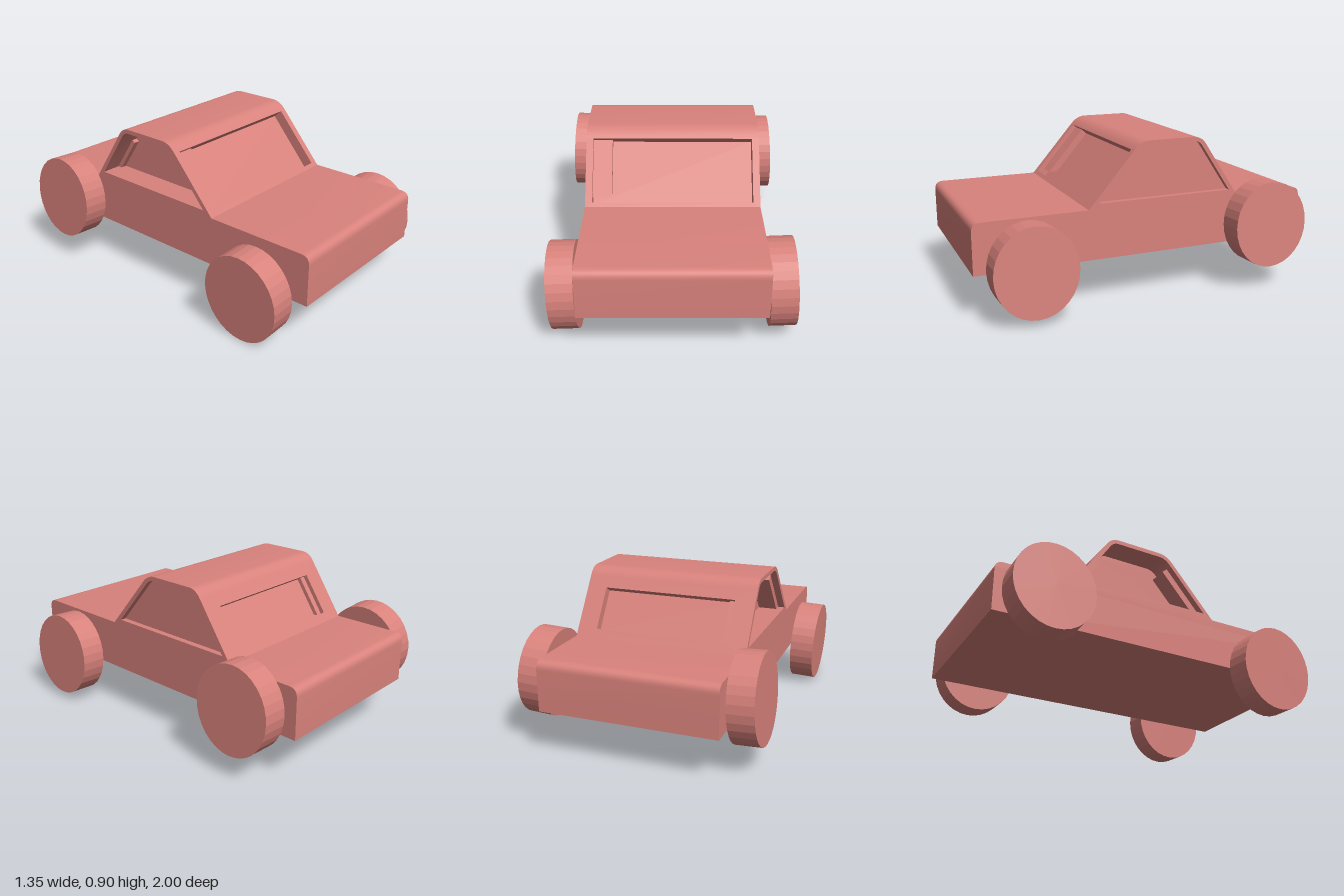
import * as THREE from 'three';
import { toCreasedNormals } from 'three/addons/utils/BufferGeometryUtils.js';

const paint = new THREE.MeshStandardMaterial({ color: 0xd9827c, side: THREE.DoubleSide });
const tyre = new THREE.MeshStandardMaterial({ color: 0xd9827c, flatShading: true });
const HALF = 0.5; // half the body width

const V = (x, y) => new THREE.Vector2(x, y);

// Profile points are (z, y)
function bodyPoints() {
  return new THREE.Path().moveTo(-0.56, 0.55).lineTo(-0.95, 0.55)
    .quadraticCurveTo(-1, 0.55, -1, 0.5).lineTo(-1, 0.265).lineTo(1, 0.265).lineTo(1, 0.5)
    .quadraticCurveTo(1, 0.55, 0.95, 0.55).lineTo(0.36, 0.55).getPoints(8);
}
function roofPoints() {
  return new THREE.Path().moveTo(0.09, 0.86).quadraticCurveTo(0.05, 0.905, 0, 0.905)
    .lineTo(-0.27, 0.905).quadraticCurveTo(-0.32, 0.905, -0.35, 0.86).getPoints(8);
}
function sideWindowPoints() {
  return new THREE.Path().moveTo(0.3, 0.58).lineTo(0.07, 0.845).quadraticCurveTo(0.04, 0.88, 0, 0.88)
    .lineTo(-0.275, 0.88).quadraticCurveTo(-0.307, 0.88, -0.327, 0.85).lineTo(-0.51, 0.58).getPoints(8);
}

function meshOf(name, geometry, material = paint) {
  const mesh = new THREE.Mesh(geometry, material);
  mesh.name = name;
  return mesh;
}

function quads(list) {
  const pos = [];
  for (const [a, b, c, d] of list) for (const p of [a, b, c, a, c, d]) pos.push(...p);
  const g = new THREE.BufferGeometry();
  g.setAttribute('position', new THREE.Float32BufferAttribute(pos, 3));
  return toCreasedNormals(g, 0.6);
}

// Sheet spanning the body width along a profile
function skin(name, pts) {
  const list = pts.slice(1).map((b, i) => {
    const a = pts[i];
    return [[-HALF, a.y, a.x], [HALF, a.y, a.x], [HALF, b.y, b.x], [-HALF, b.y, b.x]];
  });
  return meshOf(name, quads(list));
}

// Flat panel facing +z with a window pushed inwards
function windowPanel(name, outer, hole, depth) {
  const group = new THREE.Group();
  group.name = name;
  const shape = new THREE.Shape(outer);
  shape.holes.push(new THREE.Path(hole));
  group.add(meshOf(name + 'Frame', new THREE.ShapeGeometry(shape)));
  const pane = meshOf(name + 'Pane', new THREE.ShapeGeometry(new THREE.Shape(hole)));
  pane.position.z = -depth;
  const loop = THREE.ShapeUtils.isClockWise(hole) ? [...hole].reverse() : hole;
  const walls = loop.map((a, i) => {
    const b = loop[(i + 1) % loop.length];
    return [[a.x, a.y, -depth], [b.x, b.y, -depth], [b.x, b.y, 0], [a.x, a.y, 0]];
  });
  group.add(pane, meshOf(name + 'Reveal', quads(walls)));
  return group;
}

// Sloping window panel from its bottom to its top profile point
function slopedPanel(name, bottom, top, halfWidth, yLow, yHigh, depth, turn) {
  const run = Math.abs(top.x - bottom.x), rise = top.y - bottom.y;
  const length = Math.hypot(run, rise);
  const along = (y) => ((y - bottom.y) / rise) * length;
  const rect = (w, lo, hi) => [V(-w, lo), V(w, lo), V(w, hi), V(-w, hi)];
  const panel = windowPanel(name, rect(HALF, 0, length), rect(halfWidth, along(yLow), along(yHigh)), depth);
  panel.position.set(0, bottom.y, bottom.x);
  panel.rotation.set(-Math.atan2(run, rise), turn, 0, 'YXZ');
  return panel;
}

export function createModel() {
  const car = new THREE.Group();
  car.name = 'car';
  const body = bodyPoints(), roof = roofPoints(), glass = sideWindowPoints();

  // Body shell and roof
  car.add(skin('lowerBody', body), skin('roof', roof));

  // Sides; the right window is set in much deeper
  for (const [name, side, depth] of [['leftSide', 1, 0.035], ['rightSide', -1, 0.15]]) {
    const flip = (p) => V(-side * p.x, p.y);
    const panel = windowPanel(name, [...body, ...roof].map(flip), glass.map(flip), depth);
    panel.position.x = side * HALF;
    panel.rotation.y = side * Math.PI / 2;
    car.add(panel);
  }

  // Windscreen and rear window
  car.add(slopedPanel('windscreen', V(0.36, 0.55), roof[0], 0.46, 0.57, 0.855, 0.065, 0));
  car.add(slopedPanel('rearWindow', V(-0.56, 0.55), roof[roof.length - 1], 0.385, 0.595, 0.8, 0.048, Math.PI));

  // Wheels: slightly oval, each at its own height and lean
  const wheel = new THREE.CylinderGeometry(1, 1, 0.146, 32).rotateZ(Math.PI / 2).scale(1, 0.25, 0.232);
  const wheels = [
    ['frontLeftWheel', 0.586, 0.289, 0.703, 0.045],
    ['frontRightWheel', -0.588, 0.254, 0.688, 0.04],
    ['rearLeftWheel', 0.586, 0.384, -0.708, 0.045],
    ['rearRightWheel', -0.591, 0.396, -0.728, -0.045],
  ];
  for (const [name, x, y, z, lean] of wheels) {
    const mesh = meshOf(name, wheel, tyre);
    mesh.position.set(x, y, z);
    mesh.rotation.z = lean;
    car.add(mesh);
  }
  return car;
}
